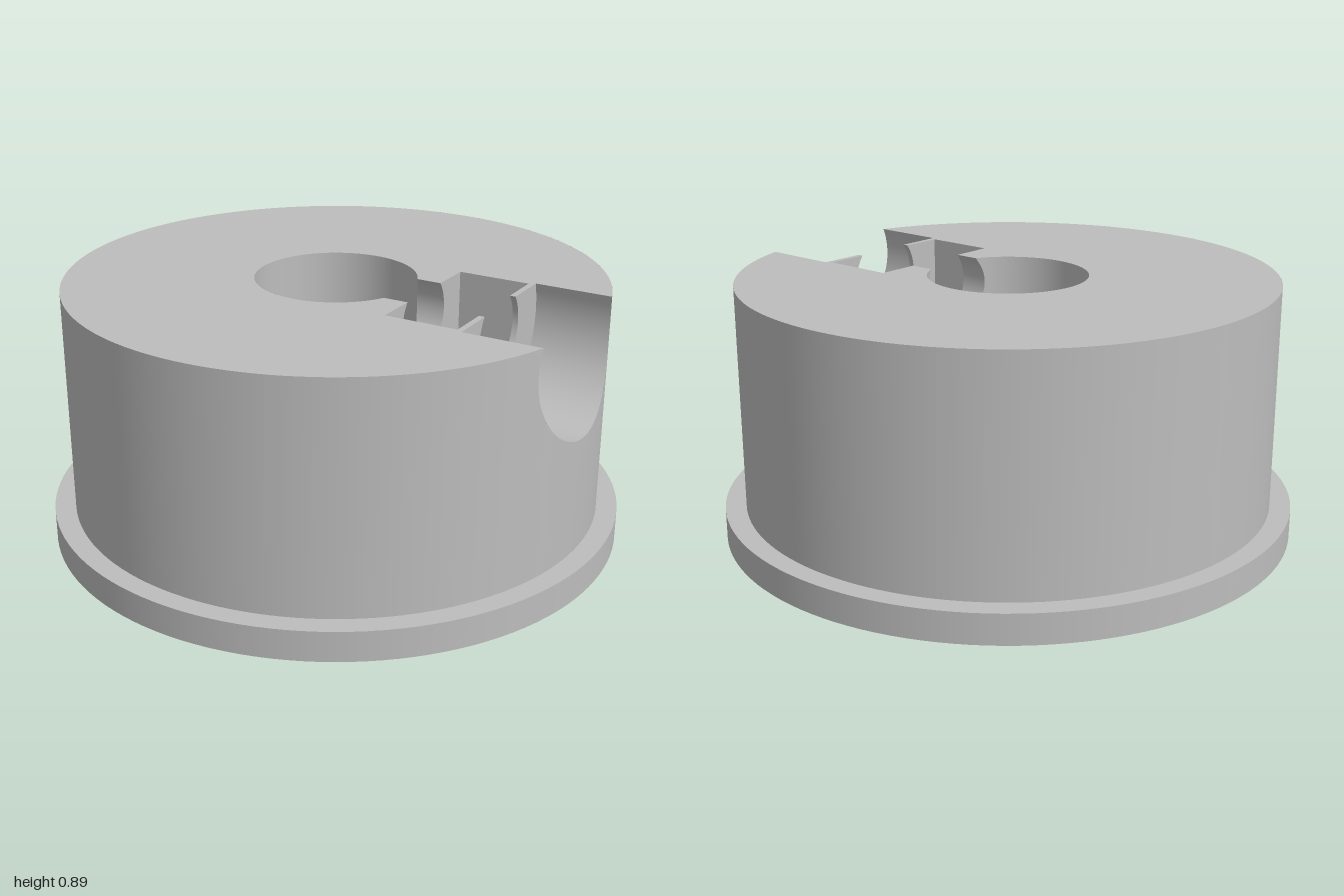
import * as THREE from 'three';

const TOP = 0.89, FLANGE_TOP = 0.105, AXIS_Y = 0.8;
const R_FLANGE = 1, R_BODY = 0.928, R_BORE = 0.278;
const R_BIG = 0.293, R_SMALL = 0.147;                  // screw head and shank channels
const SLOT_IN = 0.34, SLOT_OUT = 0.595, SLOT_Z = 0.265, SHOULDER = 0.615;

const V = (x, y, z) => new THREE.Vector3(x, y, z);
const steps = (from, to, n, f) => Array.from({ length: n + 1 }, (_, i) => f(from + (to - from) * i / n));
const lip = (r) => Math.asin((TOP - AXIS_Y) / r);      // how far a channel closes in above its axis
const onCylinder = (R) => (z) => Math.sqrt(R * R - z * z);

// Channel cross-section, as (z, y) points from one top edge to the other
const section = (r, from = Math.PI - lip(r), to = 2 * Math.PI + lip(r), n = 64) =>
  steps(from, to, n, (t) => new THREE.Vector2(r * Math.cos(t), AXIS_Y + r * Math.sin(t)));

// Smooth surface between two paths with equally many points
function ruled(a, b) {
  const n = a.length, index = [];
  for (let i = 0; i < n - 1; i++) index.push(i, i + 1, n + i + 1, i, n + i + 1, n + i);
  const g = new THREE.BufferGeometry().setFromPoints([...a, ...b]);
  g.setIndex(index);
  g.computeVertexNormals();
  return g;
}

export function createModel() {
  const group = new THREE.Group();
  const grey = new THREE.MeshStandardMaterial({ color: 0xbdbdbd, side: THREE.DoubleSide });
  grey.name = 'grey';
  const add = (name, geometry) => {
    const mesh = new THREE.Mesh(geometry, grey);
    mesh.name = name;
    group.add(mesh);
    return mesh;
  };

  // Upright round wall with a channel of radius r biting into its top at +x
  function bittenWall(name, R, r, y0, outward) {
    const strip = (a, b) => add(name, outward ? ruled(b, a) : ruled(a, b));
    const x = onCylinder(R), wrap = (p) => V(x(p.x), p.y, p.x);
    const phi = Math.asin(r / R);
    const under = section(r, Math.PI, 2 * Math.PI, 48).map(wrap);
    const plain = steps(phi, 2 * Math.PI - phi, 128, (t) => V(R * Math.cos(t), TOP, R * Math.sin(t)));
    const upper = [...under, ...plain];
    strip(upper.map((p) => V(p.x, y0, p.z)), upper);
    // narrow tips above the channel's widest line
    for (const [from, to, side] of [[2 * Math.PI, 2 * Math.PI + lip(r), 1], [Math.PI - lip(r), Math.PI, -1]]) {
      const edge = section(r, from, to, 10).map(wrap);
      strip(edge.map((p) => V(x(r), p.y, side * r)), edge);
    }
  }
  bittenWall('bodyWall', R_BODY, R_BIG, FLANGE_TOP, true);
  bittenWall('boreWall', R_BORE, R_SMALL, 0, false);

  // Channels along x
  function channel(name, r, xIn, xOut) {
    const s = section(r);
    add(name, ruled(s.map((p) => V(xIn(p.x), p.y, p.x)), s.map((p) => V(xOut(p.x), p.y, p.x))));
  }
  channel('headChannel', R_BIG, () => SHOULDER, onCylinder(R_BODY));
  channel('shankChannelInner', R_SMALL, onCylinder(R_BORE), () => SLOT_IN);
  channel('shankChannelOuter', R_SMALL, () => SLOT_OUT, () => SHOULDER);

  // Flat faces across the channels
  function crossFace(name, points, x, facing) {
    const g = new THREE.ShapeGeometry(new THREE.Shape(points));
    g.rotateY(facing * Math.PI / 2);
    add(name, g).position.x = x;
  }
  const P = (x, y) => new THREE.Vector2(x, y);
  const slotFace = [P(-SLOT_Z, 0), P(SLOT_Z, 0), P(SLOT_Z, TOP), ...section(R_SMALL).reverse(), P(-SLOT_Z, TOP)];
  crossFace('slotInnerFace', slotFace, SLOT_IN, 1);
  crossFace('slotOuterFace', slotFace, SLOT_OUT, -1);
  crossFace('headShoulder', [...section(R_BIG), ...section(R_SMALL).reverse()], SHOULDER, 1);

  // Nut slot side walls
  for (const s of [1, -1]) {
    const side = add('slotSide', new THREE.PlaneGeometry(SLOT_OUT - SLOT_IN, TOP));
    side.position.set((SLOT_IN + SLOT_OUT) / 2, TOP / 2, s * SLOT_Z);
    if (s > 0) side.rotation.y = Math.PI;
  }

  // Top face: a ring opened by the channels and the slot
  const zBig = R_BIG * Math.cos(lip(R_BIG)), zSmall = R_SMALL * Math.cos(lip(R_SMALL));
  const ringArc = (R, z) => {
    const a = Math.asin(z / R);
    return steps(a, 2 * Math.PI - a, 128, (t) => P(R * Math.cos(t), R * Math.sin(t)));
  };
  const notch = [P(SHOULDER, zBig), P(SHOULDER, zSmall), P(SLOT_OUT, zSmall), P(SLOT_OUT, SLOT_Z),
    P(SLOT_IN, SLOT_Z), P(SLOT_IN, zSmall)];
  const topShape = new THREE.Shape([
    ...ringArc(R_BODY, zBig), ...notch.map((p) => P(p.x, -p.y)),
    ...ringArc(R_BORE, zSmall).reverse(), ...notch.slice().reverse(),
  ]);
  add('topFace', new THREE.ShapeGeometry(topShape).rotateX(-Math.PI / 2)).position.y = TOP;

  // Flange: rim, ledge and underside
  add('flangeRim', new THREE.CylinderGeometry(R_FLANGE, R_FLANGE, FLANGE_TOP, 128, 1, true)).position.y = FLANGE_TOP / 2;
  add('flangeLedge', new THREE.RingGeometry(R_BODY, R_FLANGE, 128).rotateX(-Math.PI / 2)).position.y = FLANGE_TOP;
  const base = new THREE.Shape().absarc(0, 0, R_FLANGE, 0, 2 * Math.PI);
  base.holes.push(new THREE.Path().absarc(0, 0, R_BORE, 0, 2 * Math.PI, true));
  base.holes.push(new THREE.Path([P(SLOT_IN, -SLOT_Z), P(SLOT_IN, SLOT_Z), P(SLOT_OUT, SLOT_Z), P(SLOT_OUT, -SLOT_Z)]));
  add('underside', new THREE.ShapeGeometry(base, 64).rotateX(Math.PI / 2));

  return group;
}
